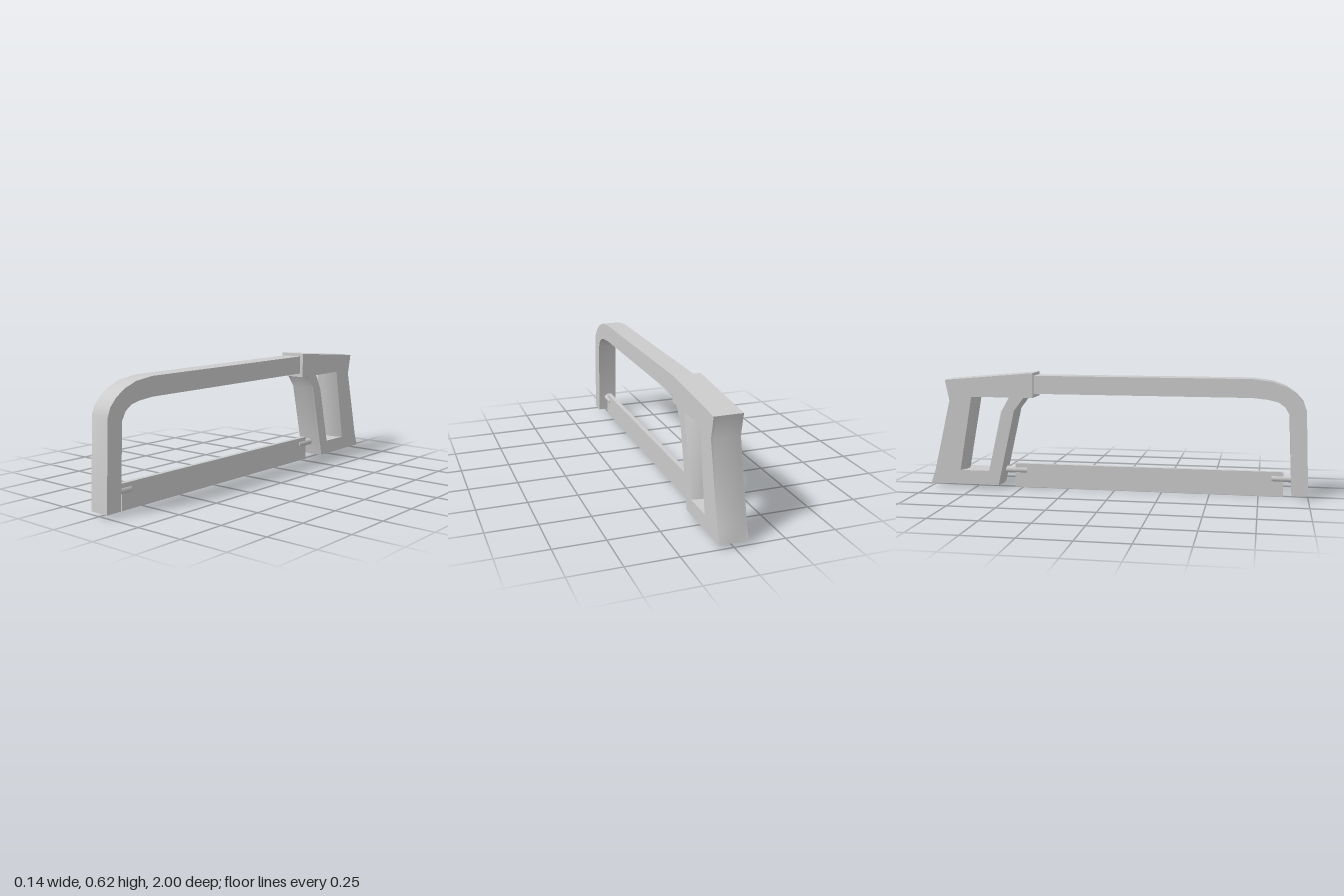
import * as THREE from 'three';
import { toCreasedNormals } from 'three/addons/utils/BufferGeometryUtils.js';

const material = new THREE.MeshStandardMaterial({ color: 0xcccccc });

function part(name, geometry) {
  const mesh = new THREE.Mesh(geometry, material);
  mesh.name = name;
  return mesh;
}

// Extrudes a side profile of [z, y, bulge] points across x. The bulge pushes
// a wall along z in the middle of the width and fades out at both sides.
function sideProfile(outline, holes, width, steps, crease) {
  const toVectors = (points) => points.map(([z, y]) => new THREE.Vector2(z, y));
  const shape = new THREE.Shape(toVectors(outline));
  holes.forEach((hole) => shape.holes.push(new THREE.Path(toVectors(hole))));
  const geometry = new THREE.ExtrudeGeometry(shape, { depth: width, steps, bevelEnabled: false });
  geometry.translate(0, 0, -width / 2);

  const corners = [outline, ...holes].flat();
  const pos = geometry.attributes.position;
  for (let i = 0; i < pos.count; i++) {
    const corner = corners.find(([z, y]) => Math.hypot(z - pos.getX(i), y - pos.getY(i)) < 1e-4);
    const u = (2 * pos.getZ(i)) / width;
    if (corner && corner[2]) pos.setX(i, pos.getX(i) + corner[2] * (1 - u * u));
  }
  geometry.rotateY(-Math.PI / 2);
  return toCreasedNormals(geometry, crease);
}

export function createModel() {
  const group = new THREE.Group();

  // Bowed frame: front leg, faceted bend and long top bar
  group.add(part('frame', sideProfile([
    [1, 0.015], [0.98, 0.45], [0.965, 0.49], [0.93, 0.53], [0.88, 0.565], [0.81, 0.592], [0.71, 0.605],
    [-0.47, 0.605], [-0.47, 0.51],
    [0.71, 0.51], [0.79, 0.502], [0.84, 0.49], [0.875, 0.465], [0.897, 0.425], [0.918, 0.015],
  ], [], 0.104, 1, 0.5)));

  // Handle with a rounded grip and front post around the finger opening
  const outline = [
    [-0.425, 0.62], [-0.907, 0.578], [-0.884, 0.468, -0.004], [-0.974, 0.09, -0.01], [-0.998, 0.02],
    [-0.62, 0.017, 0.008], [-0.528, 0.42, 0.008], [-0.475, 0.49], [-0.425, 0.49],
  ];
  const opening = [
    [-0.555, 0.49], [-0.597, 0.41, -0.02], [-0.672, 0.093, -0.008],
    [-0.832, 0.093, 0.026], [-0.762, 0.49, 0.03],
  ];
  group.add(part('handle', sideProfile(outline, [opening], 0.14, 10, 0.6)));

  // Blade
  const blade = part('blade', new THREE.BoxGeometry(0.024, 0.128, 1.418));
  blade.position.set(0, 0.064, 0.166);
  group.add(blade);

  // Pins holding the blade to the frame and the handle
  for (const [name, from, to] of [['frontPin', 0.815, 0.93], ['rearPin', -0.478, -0.61]]) {
    const geometry = new THREE.CylinderGeometry(0.018, 0.018, Math.abs(to - from), 16);
    geometry.rotateX(Math.PI / 2);
    const pin = part(name, geometry);
    pin.position.set(0, 0.093, (from + to) / 2);
    group.add(pin);
  }
  return group;
}
